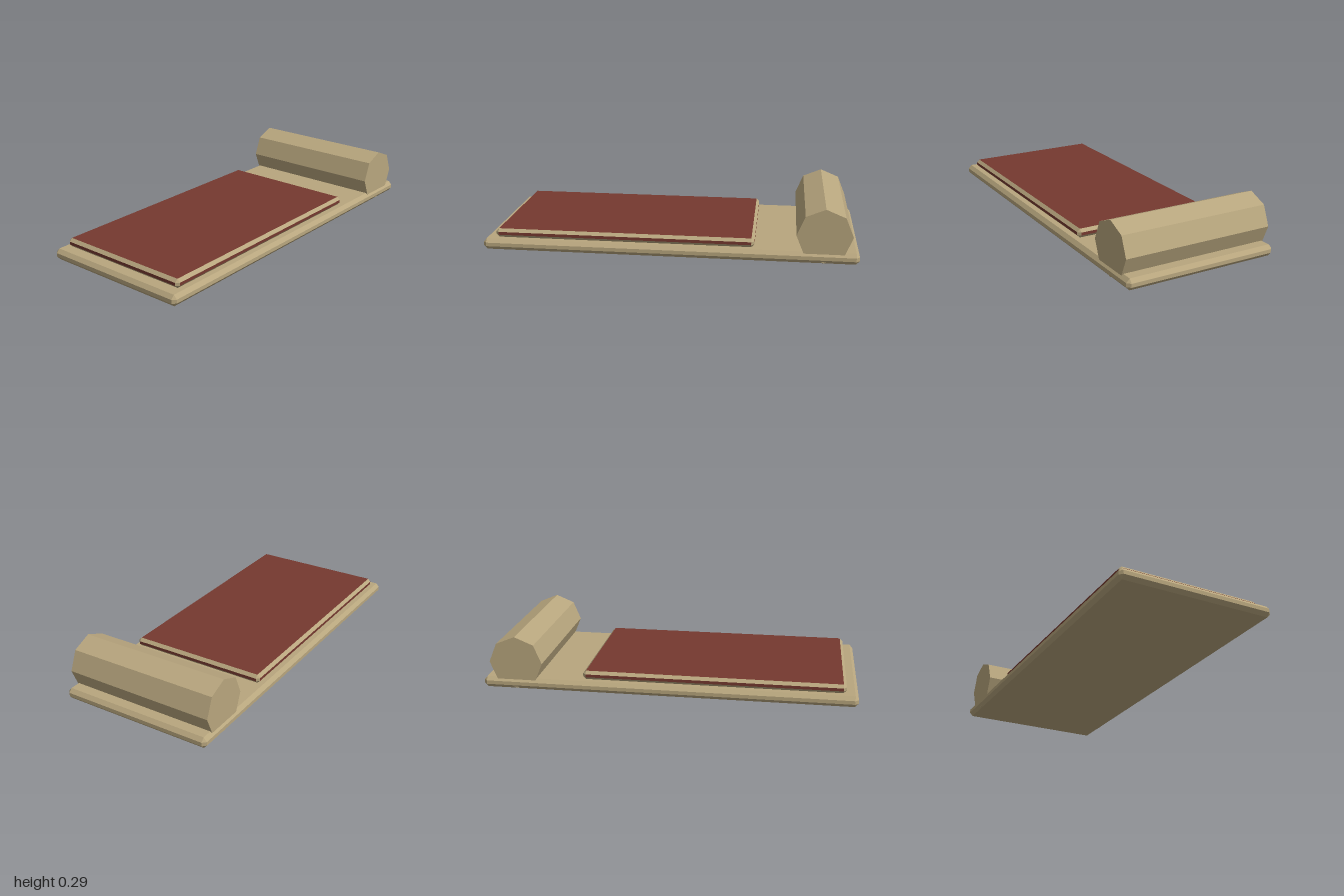
import * as THREE from 'three';

// Box with single-step bevels. Group 0: the six flat faces, group 1: the bevels.
function bevelBox(w, h, d, bx, by, bz) {
  const fx = w / 2, fz = d / 2, ix = fx - bx, iz = fz - bz;
  // eight-point outline at one level; top and bottom levels collapse to the inner rectangle
  const ring = (y, x, z) => [
    [ix, y, z], [x, y, iz], [x, y, -iz], [ix, y, -z],
    [-ix, y, -z], [-x, y, -iz], [-x, y, iz], [-ix, y, z],
  ];
  const rings = [ring(0, ix, iz), ring(by, fx, fz), ring(h - by, fx, fz), ring(h, ix, iz)];
  const flat = [], bevel = [];
  const quad = (out, a, b, c, e) => out.push(...a, ...b, ...c, ...a, ...c, ...e);
  for (let level = 0; level < 3; level++) {
    for (let i = 0; i < 8; i++) {
      const j = (i + 1) % 8, lo = rings[level], hi = rings[level + 1];
      const corner = i % 2 === 0;
      if (corner && level === 0) bevel.push(...lo[i], ...hi[j], ...hi[i]);
      else if (corner && level === 2) bevel.push(...lo[i], ...lo[j], ...hi[i]);
      else quad(!corner && level === 1 ? flat : bevel, lo[i], lo[j], hi[j], hi[i]);
    }
  }
  const t = rings[3], b = rings[0];
  quad(flat, t[0], t[2], t[4], t[6]);
  quad(flat, b[6], b[4], b[2], b[0]);

  const geo = new THREE.BufferGeometry();
  geo.setAttribute('position', new THREE.Float32BufferAttribute([...flat, ...bevel], 3));
  geo.addGroup(0, flat.length / 3, 0);
  geo.addGroup(flat.length / 3, bevel.length / 3, 1);
  geo.computeVertexNormals();
  return geo;
}

export function createModel() {
  const model = new THREE.Group();
  model.name = 'bedroll';

  const canvas = new THREE.MeshStandardMaterial({ color: 0xb8a67e });
  canvas.name = 'tan canvas';
  const red = new THREE.MeshStandardMaterial({ color: 0x75392f });
  red.name = 'dark red cloth';

  const add = (name, geo, mat, x, y, z) => {
    const mesh = new THREE.Mesh(geo, mat);
    mesh.name = name;
    mesh.position.set(x, y, z);
    model.add(mesh);
    return mesh;
  };

  // Mat lying on the ground
  add('mat', bevelBox(0.846, 0.06, 2, 0.018, 0.02, 0.018), [canvas, canvas], 0, 0, 0);

  // Red blanket with tan piping along its edges
  add('blanket', bevelBox(0.776, 0.048, 1.394, 0.016, 0.016, 0.016), [red, canvas], 0, 0.06, 0.24);

  // Eight-sided rolled pillow with one edge pointing up
  const roll = new THREE.CylinderGeometry(0.145, 0.145, 0.826, 8).toNonIndexed();
  roll.rotateZ(Math.PI / 2);
  roll.computeVertexNormals();
  add('pillowRoll', roll, canvas, 0, 0.147, -0.817);

  return model;
}
